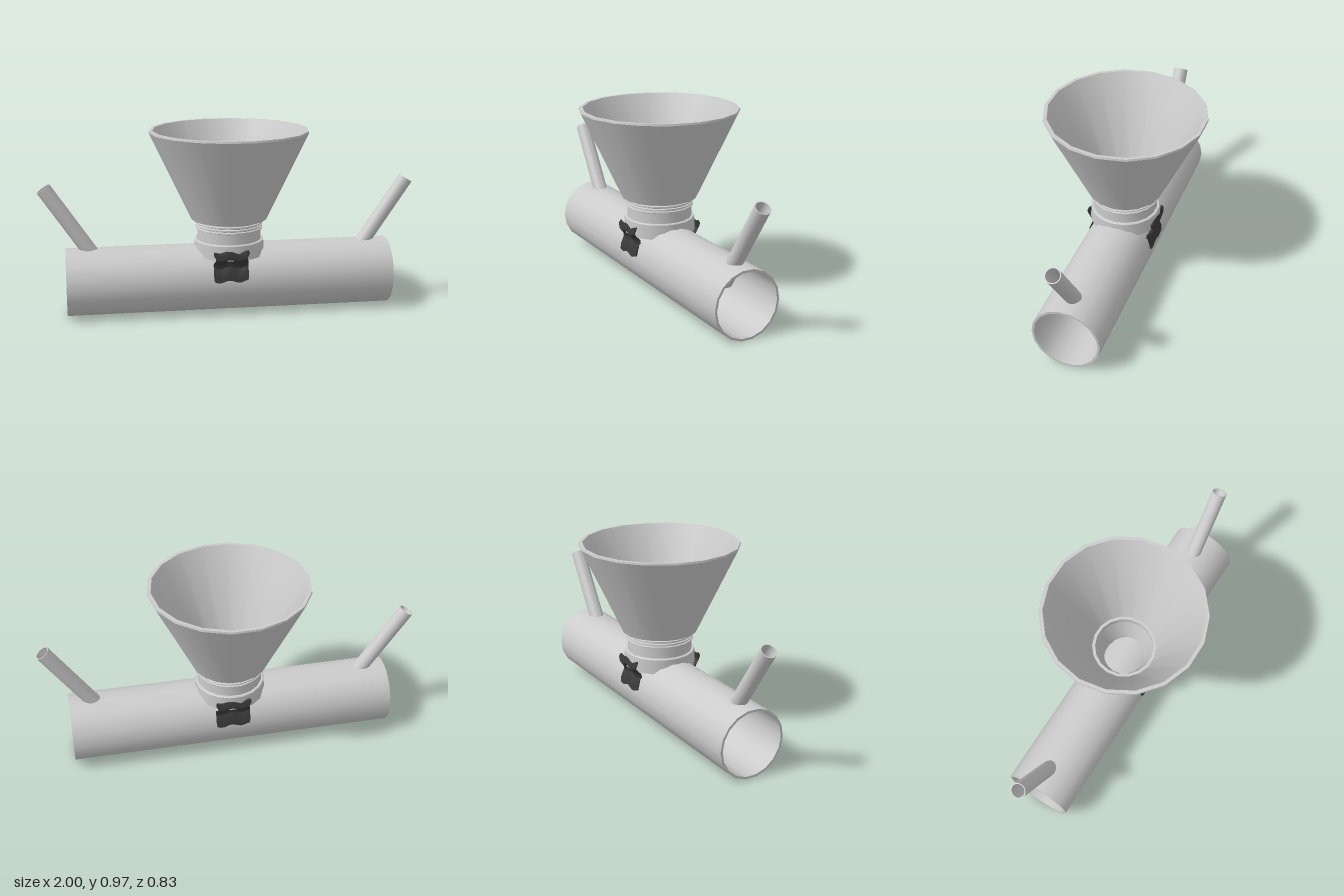
import * as THREE from 'three';
import { toCreasedNormals } from 'three/addons/utils/BufferGeometryUtils.js';

const SIDES = 18;
const PIPE_R = 0.18;
const material = new THREE.MeshStandardMaterial({ color: 0xcccccc });
const dark = new THREE.MeshStandardMaterial({ color: 0x3a3a3a, side: THREE.DoubleSide });

// Closed ring profile [radius, y] turned around the y axis
function lathe(profile, phase = 0) {
  const points = [...profile, profile[0]].map(([r, y]) => new THREE.Vector2(r, y));
  return new THREE.LatheGeometry(points, SIDES, phase);
}

function hollowTube(outer, inner, length) {
  const h = length / 2;
  return lathe([[outer, -h], [outer, h], [inner, h], [inner, -h]]);
}

// Lift the low vertices of an upright part so its foot sits on the round pipe
function seatOnPipe(geometry) {
  const p = geometry.attributes.position;
  for (let i = 0; i < p.count; i++) {
    const z = p.getZ(i);
    const surface = 0.174 + Math.sqrt(Math.max(0, 0.174 ** 2 - z * z));
    p.setY(i, Math.max(p.getY(i), surface));
  }
  return geometry;
}

function add(parent, name, geometry, mat = material) {
  const mesh = new THREE.Mesh(toCreasedNormals(geometry, 0.6), mat);
  mesh.name = name;
  parent.add(mesh);
  return mesh;
}

// Ragged strip of tape, bent from the collar down over the pipe
function tapeGeometry() {
  const outer = [[0.183, 0.36], [0.19, 0.345], [0.192, 0.32], [0.18, 0.305], [0.165, 0.29],
    [0.162, 0.27], [0.172, 0.25], [0.18, 0.225], [0.184, 0.2]];
  const inner = outer.map(([z, y]) => [z - 0.008, y]).reverse();
  const shape = new THREE.Shape([...outer, ...inner].map(([z, y]) => new THREE.Vector2(-z, y)));
  const g = new THREE.ExtrudeGeometry(shape, { depth: 0.175, steps: 10, bevelEnabled: false });
  g.rotateY(Math.PI / 2); // extrusion runs along x, profile faces +z
  g.translate(-0.1, 0, 0);
  const p = g.attributes.position;
  for (let i = 0; i < p.count; i++) {
    const x = p.getX(i), y = p.getY(i);
    const u = (x + 0.0125) / 0.0875;
    p.setX(i, x + 0.007 * u * Math.sin(y * 95));
    p.setY(i, y + 0.007 * Math.sin(x * 62 + 3));
  }
  return g;
}

export function createModel() {
  const model = new THREE.Group();
  model.name = 'pipeWithFunnel';
  const flatFront = Math.PI / SIDES;

  // Horizontal main pipe
  const pipe = hollowTube(PIPE_R, 0.168, 1.73);
  pipe.rotateZ(Math.PI / 2);
  pipe.translate(0, PIPE_R * 1.01, 0);
  add(model, 'mainPipe', pipe);

  // Funnel cone, with its inner wall running down into the throat
  add(model, 'funnel', seatOnPipe(lathe([
    [0.17, 0.5], [0.2, 0.5], [0.42, 0.965], [0.418, 0.975], [0.4, 0.975],
    [0.11, 0.37], [0.11, 0.3], [0.125, 0.3], [0.125, 0.39],
  ], flatFront)));

  // Neck with three screw ridges
  const neck = [[0.171, 0.36]];
  for (const y of [0.453, 0.468, 0.483]) {
    neck.push([0.17, y - 0.006], [0.178, y - 0.003], [0.178, y + 0.003], [0.17, y + 0.006]);
  }
  neck.push([0.171, 0.5], [0.155, 0.5], [0.155, 0.36]);
  add(model, 'threadedNeck', lathe(neck, flatFront));

  // Saddle collar joining the neck to the pipe
  add(model, 'collar', seatOnPipe(lathe([
    [0.188, 0.31], [0.188, 0.35], [0.186, 0.388], [0.182, 0.392], [0.165, 0.392], [0.165, 0.31],
  ], flatFront)));

  // Slanted side tubes, passing through the pipe wall
  const foot = new THREE.Vector3(0.663, 0.235, 0);
  const tip = new THREE.Vector3(0.967, 0.688, 0);
  const run = tip.clone().sub(foot);
  for (const [name, turn] of [['leftTube', 0], ['rightTube', Math.PI]]) {
    const tube = hollowTube(0.04, 0.035, run.length());
    tube.rotateZ(-Math.atan2(run.x, run.y));
    tube.translate((foot.x + tip.x) / 2, (foot.y + tip.y) / 2, 0);
    tube.rotateY(turn);
    add(model, name, tube);
  }

  // Tape strips on the front and back
  add(model, 'frontTape', tapeGeometry(), dark);
  add(model, 'backTape', tapeGeometry().rotateY(Math.PI), dark);

  return model;
}
